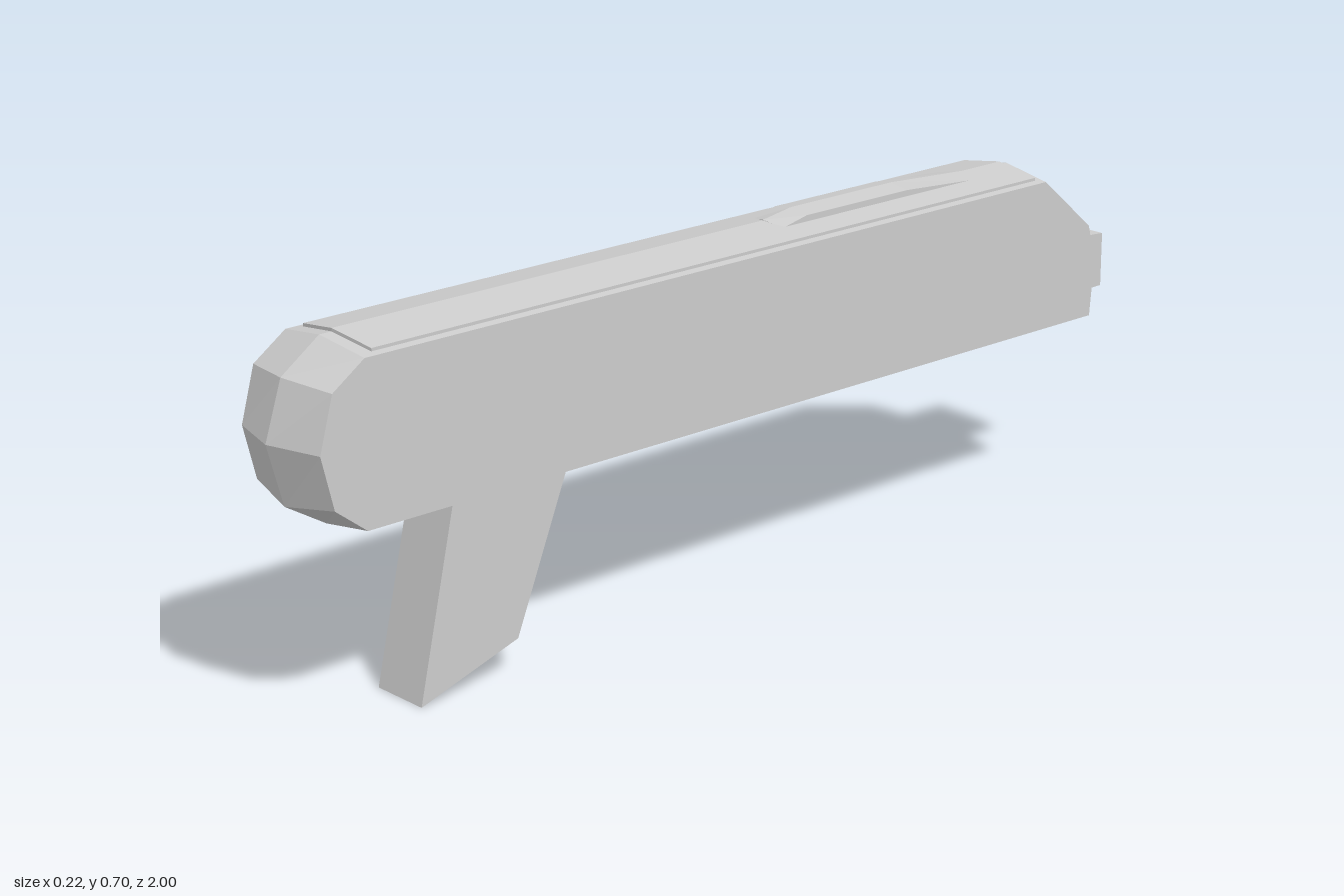
import * as THREE from 'three';

const material = new THREE.MeshStandardMaterial({ color: 0xcccccc, flatShading: true, side: THREE.DoubleSide });

// Solid lofted across x: side outline at -w, ridge outline at 0, side outline at +w.
// Outlines are [z, y] points running front, top, back, bottom.
function ridged(name, w, side, ridge = side) {
  const rings = [[-w, side], [0, ridge], [w, side]].map(([x, outline]) => outline.map(([z, y]) => [x, y, z]));
  const n = side.length;
  const pos = [];
  const tri = (a, b, c) => pos.push(...a, ...b, ...c);
  for (let r = 0; r < 2; r++) {
    const a = rings[r], b = rings[r + 1];
    for (let i = 0; i < n; i++) {
      const j = (i + 1) % n;
      tri(a[i], b[i], b[j]);
      tri(a[i], b[j], a[j]);
    }
  }
  // flat side caps
  for (let i = 1; i < n - 1; i++) {
    tri(rings[2][0], rings[2][i + 1], rings[2][i]);
    tri(rings[0][0], rings[0][i], rings[0][i + 1]);
  }
  const geometry = new THREE.BufferGeometry();
  geometry.setAttribute('position', new THREE.Float32BufferAttribute(pos, 3));
  geometry.computeVertexNormals();
  const mesh = new THREE.Mesh(geometry, material);
  mesh.name = name;
  return mesh;
}

export function createModel() {
  const model = new THREE.Group();
  model.name = 'toolBody';

  // Long housing with a faceted round nose and a sloped tail
  model.add(ridged('housing', 0.108,
    [[0.97, 0.52], [0.942, 0.62], [0.875, 0.666], [-0.755, 0.666], [-0.885, 0.555], [-0.905, 0.48],
      [-0.895, 0.37], [0.88, 0.37], [0.945, 0.42]],
    [[1, 0.52], [0.965, 0.627], [0.885, 0.683], [-0.76, 0.683], [-0.89, 0.56], [-0.905, 0.48],
      [-0.9, 0.355], [0.885, 0.355], [0.968, 0.405]]));

  // Thin raised panel along the roof
  model.add(ridged('topPanel', 0.093,
    [[0.85, 0.66], [0.85, 0.674], [-0.74, 0.674], [-0.74, 0.66]],
    [[0.86, 0.67], [0.86, 0.689], [-0.74, 0.689], [-0.74, 0.67]]));

  // Low rib tapering into the panel at both ends
  model.add(ridged('topRib', 0.042,
    [[-0.12, 0.681], [-0.18, 0.694], [-0.44, 0.694], [-0.63, 0.681], [-0.63, 0.675], [-0.12, 0.675]],
    [[-0.11, 0.69], [-0.18, 0.701], [-0.44, 0.701], [-0.65, 0.688], [-0.65, 0.68], [-0.11, 0.68]]));

  // Slanted handle
  model.add(ridged('handle', 0.06,
    [[0.745, 0], [0.655, 0.4], [0.395, 0.4], [0.53, 0.068]]));

  // Square stub on the tail
  model.add(ridged('tailStub', 0.044,
    [[-0.86, 0.515], [-1, 0.505], [-1, 0.397], [-0.86, 0.395]]));

  return model;
}
